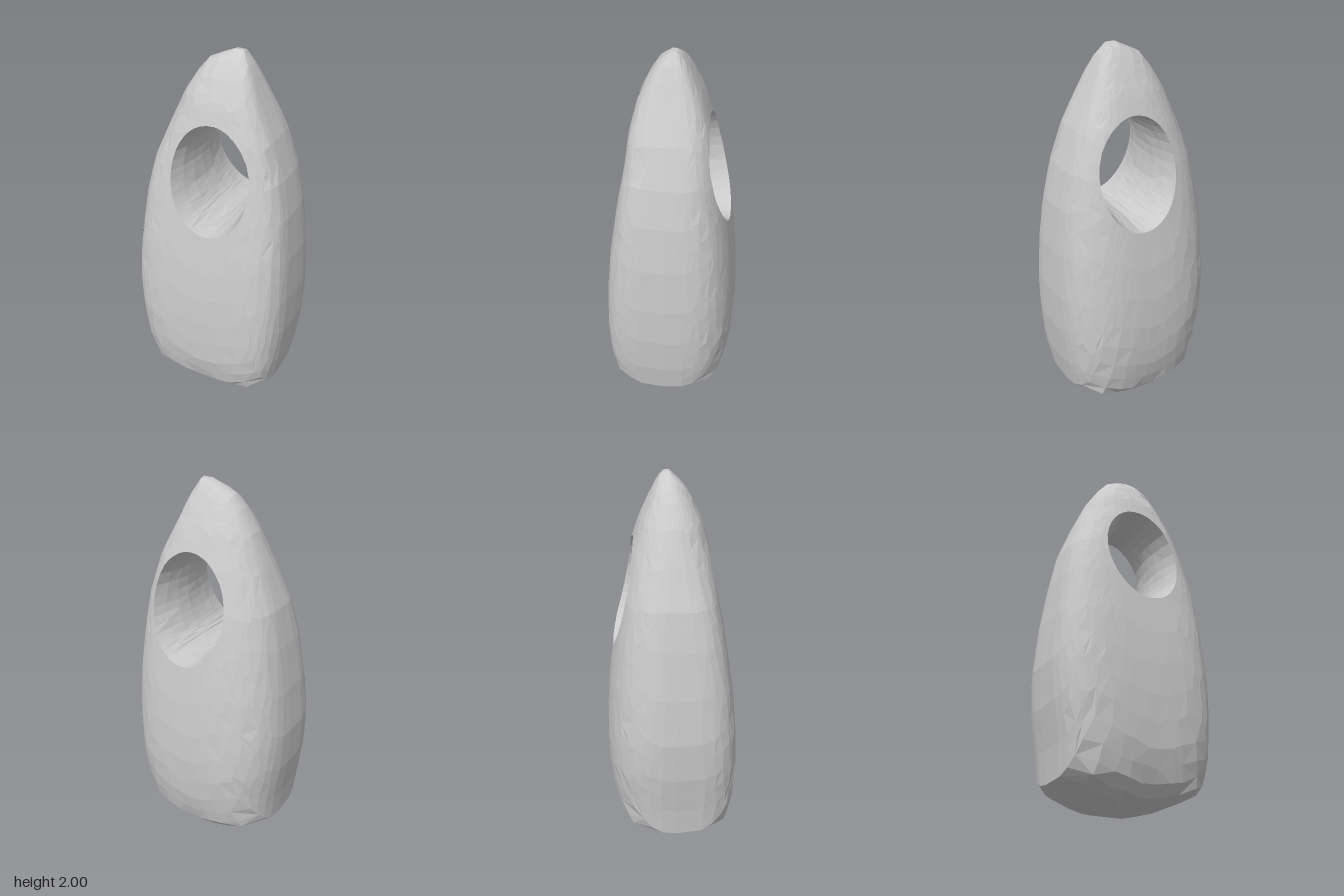
import * as THREE from 'three';

// Body profile per height: [y, left x, right x, front depth, back depth]
const PROFILE = [
  [0, -0.04, 0.04, 0.03, 0.03], [0.035, -0.2, 0.2, 0.24, 0.22], [0.11, -0.39, 0.385, 0.31, 0.29],
  [0.27, -0.405, 0.415, 0.345, 0.33], [0.48, -0.435, 0.435, 0.35, 0.35], [0.7, -0.445, 0.44, 0.34, 0.345],
  [0.95, -0.425, 0.43, 0.315, 0.325], [1.2, -0.39, 0.405, 0.275, 0.29], [1.4, -0.35, 0.365, 0.24, 0.255],
  [1.6, -0.275, 0.3, 0.21, 0.21], [1.77, -0.2, 0.22, 0.165, 0.155], [1.88, -0.13, 0.17, 0.11, 0.105],
  [1.94, -0.08, 0.14, 0.07, 0.075], [2, 0.05, 0.1, 0.005, 0.035],
];
const HOLE = { x: 0.04, y: 1.38, rx: 0.178, ry: 0.274 };
const RADIAL = 10, WALL = 6;

function profileAt(y) {
  let k = 0;
  while (k < PROFILE.length - 2 && PROFILE[k + 1][0] < y) k++;
  const a = PROFILE[k], b = PROFILE[k + 1];
  const f = THREE.MathUtils.clamp((y - a[0]) / (b[0] - a[0]), 0, 1);
  return a.map((v, i) => v + (b[i] - v) * f);
}

// Repeatable noise in -1..1
function noise(i, j, k) {
  const s = Math.sin(i * 127.1 + j * 311.7 + k * 74.7) * 43758.5453;
  return (s - Math.floor(s)) * 2 - 1;
}

// Depth of the section on the front (+1) or back (-1): squarer in front,
// more chamfered behind, with a flat cut down the right of the peak
function surfaceZ(x, y, side) {
  const [, l, r, front, back] = profileAt(y);
  const u = THREE.MathUtils.clamp((x - (l + r) / 2) / ((r - l) / 2), -1, 1);
  const body = side > 0 ? 4 : u < 0 ? 2.6 : 3;
  const peak = u < 0 ? 2.3 : 3.6;
  const n = THREE.MathUtils.lerp(body, peak, THREE.MathUtils.smoothstep(y, 1.2, 1.75));
  return side * (side > 0 ? front : back) * Math.pow(1 - Math.pow(Math.abs(u), n), 1 / n);
}

// Outline seen from the front, clockwise, split into short edges
function makeOutline() {
  const corners = [
    ...PROFILE.map(p => new THREE.Vector2(p[1], p[0])),
    ...PROFILE.map(p => new THREE.Vector2(p[2], p[0])).reverse(),
  ];
  const out = [];
  corners.forEach((p, i) => {
    const q = corners[(i + 1) % corners.length];
    const parts = Math.ceil(p.distanceTo(q) / 0.13);
    for (let k = 0; k < parts; k++) out.push(p.clone().lerp(q, k / parts));
  });
  return out;
}

// Point on the rim of the hole; the openings flare and shift slightly apart
function rimPoint(angle, side) {
  const flare = side * side;
  return new THREE.Vector2(
    HOLE.x - 0.012 * side + (HOLE.rx + 0.04 * flare) * Math.cos(angle),
    HOLE.y + (HOLE.ry + 0.018 * flare) * Math.sin(angle));
}

// One closed loop: out over the front, in over the back, through the hole
function crossSection(edge, i) {
  const angle = Math.atan2((edge.y - HOLE.y) / HOLE.ry, (edge.x - HOLE.x) / HOLE.rx);
  const loop = [];
  const sheetPoint = (j, side) => {
    const s = 1 - Math.pow(1 - j / RADIAL, 2);
    const p = rimPoint(angle, side).lerp(edge, s);
    const wobble = 0.08 * s * (1 - s);
    p.x += noise(i, j, side) * wobble;
    p.y += noise(i, j, side + 5) * wobble;
    let z = j === RADIAL ? 0 : surfaceZ(p.x, p.y, side);
    // Worn chips low on the flanks
    if (p.y < 0.5 && Math.abs(p.x) > 0.25 && noise(i, j, 9) > 0.5) z *= 0.98;
    return new THREE.Vector3(p.x, p.y, z);
  };
  for (let j = 0; j <= RADIAL; j++) loop.push(sheetPoint(j, 1));
  for (let j = RADIAL - 1; j >= 0; j--) loop.push(sheetPoint(j, -1));
  const zFront = loop[0].z, zBack = loop[loop.length - 1].z;
  for (let k = 1; k < WALL; k++) {
    const p = rimPoint(angle, -1 + 2 * k / WALL);
    const rough = 1 + 0.012 * noise(i, k, 3);
    loop.push(new THREE.Vector3(
      HOLE.x + (p.x - HOLE.x) * rough, HOLE.y + (p.y - HOLE.y) * rough,
      THREE.MathUtils.lerp(zBack, zFront, k / WALL)));
  }
  return loop;
}

export function createModel() {
  const loops = makeOutline().map(crossSection);
  const m = loops[0].length;
  const index = [];
  loops.forEach((_, i) => {
    const n = (i + 1) % loops.length;
    for (let j = 0; j < m; j++) {
      const k = (j + 1) % m;
      const a = i * m + j, b = n * m + j, c = n * m + k, d = i * m + k;
      if ((i + j) % 2) index.push(a, b, c, a, c, d);
      else index.push(a, b, d, b, c, d);
    }
  });
  const geometry = new THREE.BufferGeometry().setFromPoints(loops.flat());
  geometry.setIndex(index);
  geometry.computeVertexNormals();

  const stone = new THREE.Mesh(geometry,
    new THREE.MeshStandardMaterial({ color: 0xcccccc, flatShading: true }));
  stone.name = 'piercedStone';
  const group = new THREE.Group();
  group.name = 'standingStone';
  group.add(stone);
  return group;
}
